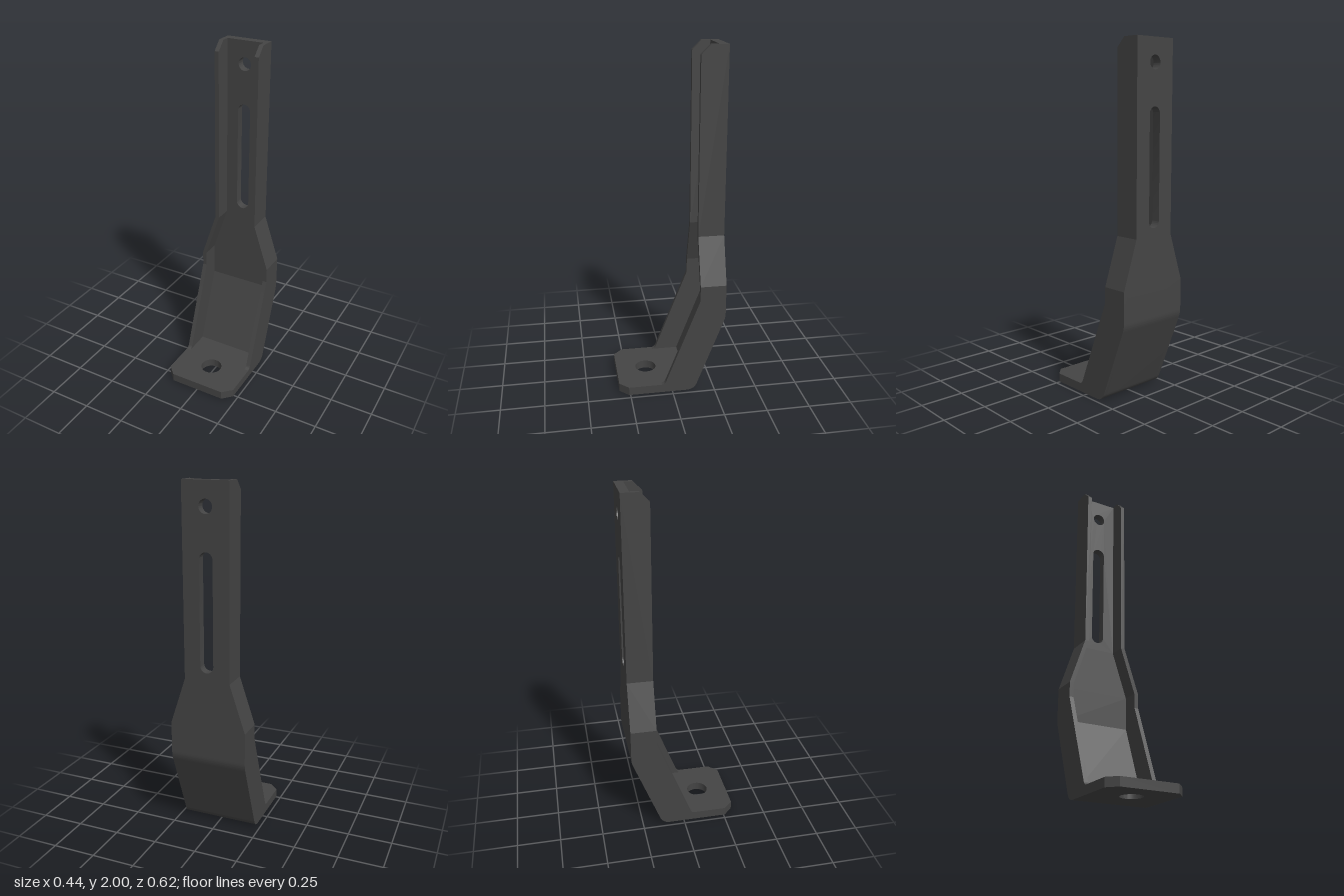
import * as THREE from 'three';
import { toCreasedNormals } from 'three/addons/utils/BufferGeometryUtils.js';

const WALL = 0.025;      // side flange thickness
const PLATE = 0.05;      // web and foot thickness
const BACK = -0.311;     // rear face z
const LIP = -0.161;      // front edge z of the upright flanges
const Y_LOW = 0.667, Y_HIGH = 0.94;   // ends of the taper
const W_LOW = 0.222, W_HIGH = 0.132;  // half widths below and above the taper
const FOOT_START = 0.065;

const halfWidth = (y) =>
  THREE.MathUtils.lerp(W_LOW, W_HIGH, THREE.MathUtils.clamp((y - Y_LOW) / (Y_HIGH - Y_LOW), 0, 1));

const polygon = (points) => new THREE.Shape(points.map(([x, y]) => new THREE.Vector2(x, y)));

const extrude = (shape, depth) =>
  new THREE.ExtrudeGeometry(shape, { depth, bevelEnabled: false, curveSegments: 24 });

// Extrudes a side profile drawn in (-z, y) across x, centred on x = 0
const extrudeAcross = (shape, width) =>
  extrude(shape, width).translate(0, 0, -width / 2).rotateY(Math.PI / 2);

// Profile of the bent lower section: shared rounded rear edge, given front edge
function bentProfile(drawFront) {
  const s = new THREE.Shape();
  s.moveTo(-BACK, Y_LOW);
  s.lineTo(-BACK, 0.49);
  s.quadraticCurveTo(-BACK, 0.465, 0.301, 0.44);
  s.lineTo(0.147, 0.042);
  s.quadraticCurveTo(0.13, 0, 0.085, 0);
  s.lineTo(-FOOT_START, 0);
  s.lineTo(-FOOT_START, PLATE);
  drawFront(s);
  s.closePath();
  return s;
}

function roundHole(x, y, r) {
  const p = new THREE.Path();
  p.absarc(x, y, r, 0, Math.PI * 2, true);
  return p;
}

export function createModel() {
  const group = new THREE.Group();
  group.name = 'bracket';
  const darkSteel = new THREE.MeshStandardMaterial({ color: 0x444444 });
  darkSteel.name = 'dark steel';

  const add = (name, geometry) => {
    const mesh = new THREE.Mesh(toCreasedNormals(geometry, 0.3), darkSteel);
    mesh.name = name;
    group.add(mesh);
  };

  // Upright back plate with a bolt hole and a long slot
  const a = W_LOW - WALL, b = W_HIGH - WALL;
  const plate = polygon([[-a, Y_LOW], [a, Y_LOW], [b, Y_HIGH], [b, 2], [-b, 2], [-b, Y_HIGH]]);
  const slot = new THREE.Path();
  const r = 0.038;
  slot.absarc(0, 1.602, r, 0, Math.PI, false);
  slot.absarc(0, 1.025, r, Math.PI, Math.PI * 2, false);
  slot.closePath();
  plate.holes.push(roundHole(0, 1.87, r), slot);
  add('backPlate', extrude(plate, PLATE).translate(0, 0, BACK));

  // Bent web between the flanges
  const web = bentProfile((s) => {
    s.lineTo(0.097, PLATE);
    s.lineTo(0.261, 0.475);
    s.lineTo(0.261, Y_LOW);
  });
  add('bentWeb', extrudeAcross(web, 2 * a));

  // Foot plate with chamfered front corners and a large hole
  const foot = polygon([
    [-W_LOW, -FOOT_START], [-W_LOW, -0.258], [-0.169, -0.311],
    [0.169, -0.311], [W_LOW, -0.258], [W_LOW, -FOOT_START],
  ]);
  foot.holes.push(roundHole(0, -0.132, 0.0625));
  add('footPlate', extrude(foot, PLATE).rotateX(-Math.PI / 2));

  // Side flanges in three bands that follow the plate's taper
  const flanges = {
    LowerFlange: bentProfile((s) => {
      s.quadraticCurveTo(-0.0456, PLATE, -0.036, 0.074);
      s.lineTo(-LIP, 0.58);
      s.lineTo(-LIP, Y_LOW);
    }),
    TaperFlange: polygon([[-LIP, Y_LOW], [-BACK, Y_LOW], [-BACK, Y_HIGH], [-LIP, Y_HIGH]]),
    UpperFlange: polygon([[-LIP, Y_HIGH], [-BACK, Y_HIGH], [-BACK, 2], [0.213, 2], [-LIP, 1.948]]),
  };
  for (const [side, sign] of [['left', 1], ['right', -1]]) {
    for (const [name, shape] of Object.entries(flanges)) {
      const geometry = extrudeAcross(shape, WALL);
      const p = geometry.attributes.position;
      for (let i = 0; i < p.count; i++) {
        p.setX(i, p.getX(i) + sign * (halfWidth(p.getY(i)) - WALL / 2));
      }
      add(side + name, geometry);
    }
  }
  return group;
}
